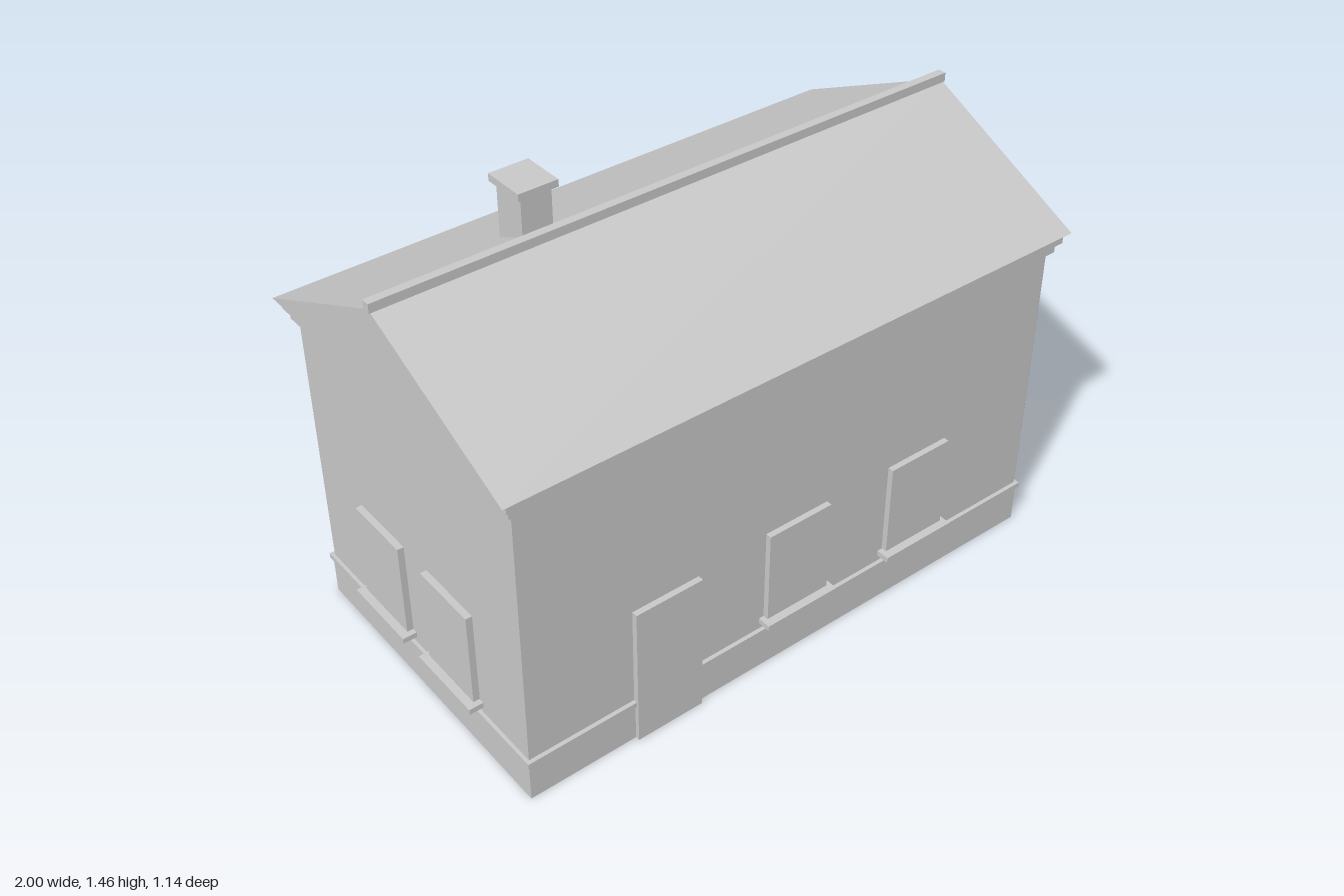
import * as THREE from 'three';

export function createModel() {
  const house = new THREE.Group();
  house.name = 'house';
  const grey = new THREE.MeshStandardMaterial({ color: 0xc8c8c8 });
  grey.name = 'plain grey';

  function add(name, geometry, parent = house) {
    const mesh = new THREE.Mesh(geometry, grey);
    mesh.name = name;
    parent.add(mesh);
    return mesh;
  }

  // Box given by its size, the height of its underside and its centre on the plan
  function block(name, w, d, y0, y1, x = 0, z = 0, parent = house) {
    const mesh = add(name, new THREE.BoxGeometry(w, y1 - y0, d), parent);
    mesh.position.set(x, (y0 + y1) / 2, z);
    return mesh;
  }

  // Walls, plinth and mouldings
  block('plinth', 1.9, 1.064, 0, 0.135);
  block('plinthBand', 1.914, 1.08, 0.13, 0.148);
  block('walls', 1.892, 1.054, 0.135, 1.064);
  block('lowerCornice', 1.926, 1.086, 1.028, 1.054);
  block('upperCornice', 1.954, 1.114, 1.061, 1.088);

  // Gable roof: a triangular prism along x
  const gable = new THREE.Shape();
  gable.moveTo(-0.571, 1.095);
  gable.lineTo(0.571, 1.095);
  gable.lineTo(0, 1.365);
  gable.closePath();
  const roof = new THREE.ExtrudeGeometry(gable, { depth: 1.99, bevelEnabled: false });
  roof.translate(0, 0, -0.995);
  roof.rotateY(Math.PI / 2);
  add('roof', roof);
  block('ridgeCap', 2, 0.027, 1.36, 1.389);

  // Chimney on the back slope
  block('chimneyShaft', 0.1, 0.115, 1.2, 1.442, -0.416, -0.158);
  block('chimneyCap', 0.13, 0.142, 1.44, 1.463, -0.416, -0.158);

  // Window pane and sill on a wall; angle turns the wall's outward side from +z
  function windowUnit(name, along, wall, angle) {
    const unit = new THREE.Group();
    unit.name = name;
    block('pane', 0.23, 0.04, 0.19, 0.506, along, wall - 0.001, unit);
    block('sill', 0.264, 0.06, 0.17, 0.188, along, wall + 0.014, unit);
    unit.rotation.y = angle;
    house.add(unit);
  }
  for (const x of [0, 0.473]) windowUnit('frontWindow', x, 0.527, 0);
  for (const x of [-0.473, 0, 0.473]) windowUnit('backWindow', x, 0.527, Math.PI);
  for (const z of [-0.175, 0.175]) {
    windowUnit('leftWindow', z, 0.948, Math.PI / 2);
    windowUnit('rightWindow', z, 0.948, -Math.PI / 2);
  }

  // Front door
  block('door', 0.23, 0.04, 0, 0.486, -0.474, 0.526);

  // Rain pipe near the front corner of the left wall
  const pipe = add('rainPipe', new THREE.CylinderGeometry(0.007, 0.007, 0.98, 10));
  pipe.position.set(0.961, 0.526, 0.507);

  return house;
}
